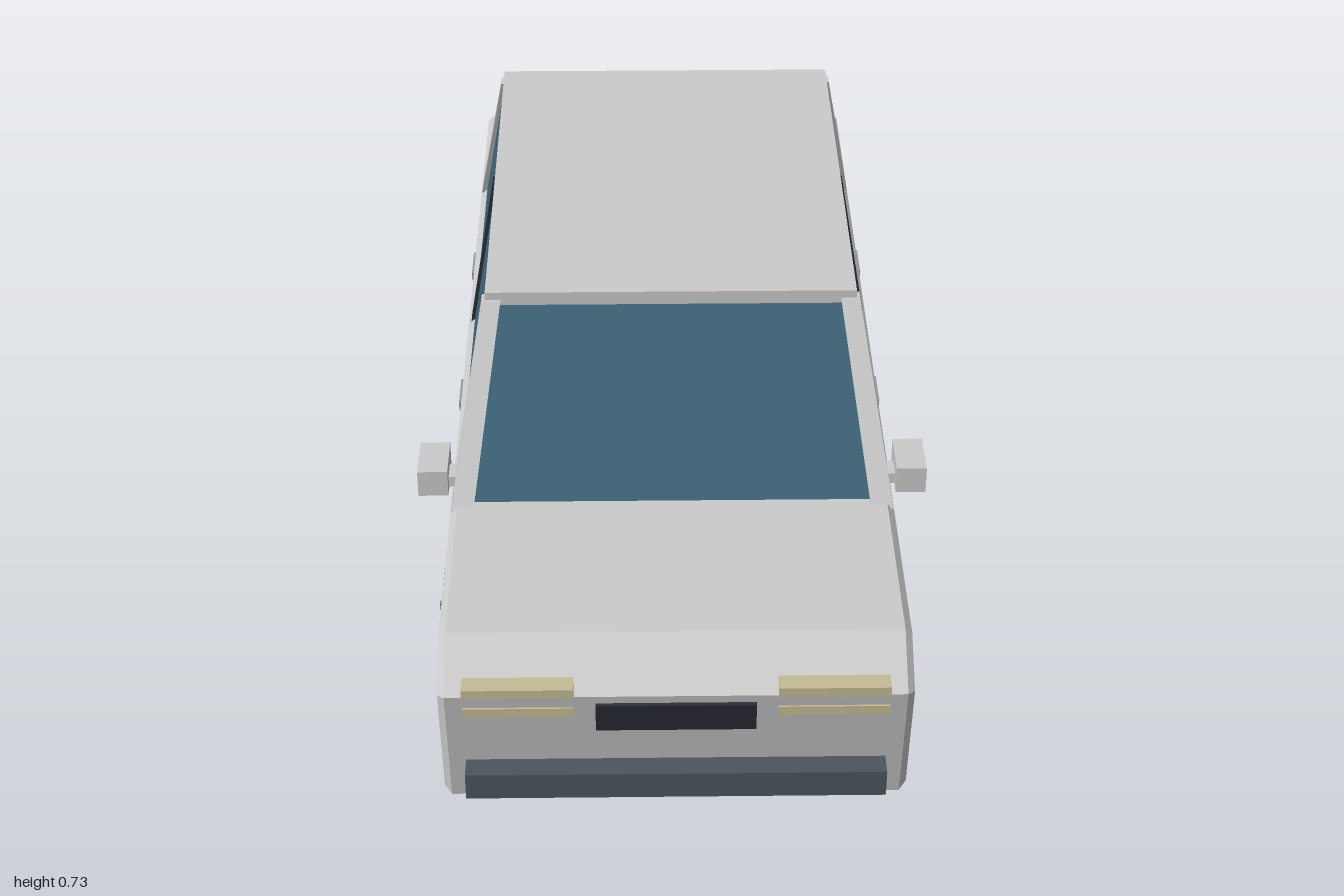
import * as THREE from 'three';
import { ConvexGeometry } from 'three/addons/geometries/ConvexGeometry.js';

const mat = (color) => new THREE.MeshStandardMaterial({ color, flatShading: true });
const paint = mat(0xcccccc), glass = mat(0x3d6478), black = mat(0x1b1d20), dark = mat(0x2a2d36);
const trim = mat(0x4d545e), metal = mat(0x8a939c), lamp = mat(0xc4bb95), red = mat(0x8a2424), chrome = mat(0x9a9b9e);

const WHEELS = [0.585, -0.57], AXLE = 0.152;

export function createModel() {
  const car = new THREE.Group();
  car.name = 'sedan';

  const add = (name, geometry, material, parent = car) => {
    const mesh = new THREE.Mesh(geometry, material);
    mesh.name = name;
    parent.add(mesh);
    return mesh;
  };
  // Box given by its limits on each axis
  const box = (name, [x0, x1], [y0, y1], [z0, z1], material) => {
    const mesh = add(name, new THREE.BoxGeometry(x1 - x0, y1 - y0, z1 - z0), material);
    mesh.position.set((x0 + x1) / 2, (y0 + y1) / 2, (z0 + z1) / 2);
    return mesh;
  };
  // Solid between two horizontal rectangles [x0, x1, z0, z1]
  const loft = (name, y0, a, y1, b, material) => {
    const points = [];
    for (const [y, r] of [[y0, a], [y1, b]])
      for (const x of [r[0], r[1]]) for (const z of [r[2], r[3]]) points.push(new THREE.Vector3(x, y, z));
    return add(name, new ConvexGeometry(points), material);
  };
  const mirrored = (s, a, b) => (s > 0 ? [a, b] : [-b, -a]);

  // Lower body: side profile with wheel arches, extruded across the car
  const profile = new THREE.Shape();
  profile.moveTo(0.945, 0.11);
  profile.lineTo(0.988, 0.355);
  profile.lineTo(0.9, 0.418);
  profile.lineTo(-0.905, 0.418);
  profile.lineTo(-0.975, 0.355);
  profile.lineTo(-0.93, 0.11);
  const archR = 0.165;
  profile.lineTo(WHEELS[1] - archR, 0.145);
  profile.absarc(WHEELS[1], AXLE, archR, Math.PI, 0, true);
  profile.lineTo(WHEELS[1] + archR, 0.12);
  profile.lineTo(WHEELS[0] - archR, 0.145);
  profile.absarc(WHEELS[0], AXLE, archR, Math.PI, 0, true);
  profile.lineTo(WHEELS[0] + archR, 0.11);
  const bevel = 0.012, halfWidth = 0.385;
  const bodyGeometry = new THREE.ExtrudeGeometry(profile, {
    depth: 2 * (halfWidth - bevel), bevelThickness: bevel, bevelSize: bevel,
    bevelOffset: -bevel, bevelSegments: 1, curveSegments: 14,
  });
  bodyGeometry.translate(0, 0, bevel - halfWidth);
  bodyGeometry.rotateY(-Math.PI / 2);
  add('body', bodyGeometry, paint);
  box('underbody', [-0.33, 0.33], [0.095, 0.145], [-0.8, 0.82], black);

  // Cabin: glass block, roof and pillars
  loft('windows', 0.41, [-0.374, 0.374, -0.6, 0.548], 0.715, [-0.322, 0.322, -0.478, 0.362], glass);
  box('roof', [-0.322, 0.322], [0.71, 0.735], [-0.485, 0.366], paint);
  for (const s of [1, -1]) {
    const rect = (x0, x1, z0, z1) => [...mirrored(s, x0, x1), z0, z1];
    loft('frontPillar', 0.41, rect(0.345, 0.384, 0.505, 0.562), 0.72, rect(0.295, 0.328, 0.345, 0.372), paint);
    loft('rearPillar', 0.41, rect(0.345, 0.384, -0.612, -0.57), 0.72, rect(0.295, 0.328, -0.488, -0.458), paint);
    loft('centrePillar', 0.41, rect(0.34, 0.38, -0.09, -0.056), 0.712, rect(0.29, 0.328, -0.09, -0.056), dark);

    // Mirrors and door handles
    box('wingMirror', mirrored(s, 0.388, 0.44), [0.43, 0.48], [0.45, 0.54], paint);
    box('mirrorMount', mirrored(s, 0.36, 0.395), [0.435, 0.455], [0.48, 0.52], paint);
    for (const z of [0.13, -0.34])
      box('doorHandle', mirrored(s, 0.375, 0.393), [0.357, 0.375], [z - 0.04, z + 0.04], chrome);

    // Lamps
    box('headlampUpper', mirrored(s, 0.165, 0.345), [0.357, 0.374], [0.93, 0.994], lamp);
    box('headlampLower', mirrored(s, 0.165, 0.345), [0.312, 0.33], [0.94, 0.987], lamp);
    box('tailLampUpper', mirrored(s, 0.22, 0.345), [0.357, 0.376], [-0.98, -0.93], red);
    box('tailLampLower', mirrored(s, 0.22, 0.345), [0.312, 0.33], [-0.974, -0.93], red);
  }

  // Grille, bumpers and rear plate
  const grille = box('grille', [-0.13, 0.13], [0.28, 0.34], [0.967, 0.987], dark);
  grille.rotation.x = 0.17;
  box('frontBumper', [-0.345, 0.345], [0.15, 0.2], [0.93, 1], trim);
  box('rearBumper', [-0.345, 0.345], [0.15, 0.2], [-0.982, -0.92], trim);
  box('rearPlate', [-0.08, 0.08], [0.178, 0.222], [-1, -0.94], chrome);

  // Wheels: tyre, disc on both faces and radial spokes
  for (const s of [1, -1]) for (const z of WHEELS) {
    const wheel = new THREE.Group();
    wheel.name = 'wheel';
    wheel.position.set(s * 0.359, AXLE, z);
    car.add(wheel);
    const tyre = [[0.08, -0.041], [0.138, -0.041], [0.152, -0.03], [0.152, 0.03], [0.138, 0.041], [0.08, 0.041]];
    add('tyre', new THREE.LatheGeometry(tyre.map((p) => new THREE.Vector2(...p)), 18), black, wheel)
      .rotation.z = -Math.PI / 2;
    add('rim', new THREE.CylinderGeometry(0.084, 0.084, 0.094, 18), metal, wheel).rotation.z = Math.PI / 2;
    add('hub', new THREE.CylinderGeometry(0.022, 0.022, 0.102, 10), trim, wheel).rotation.z = Math.PI / 2;
    for (let i = 0; i < 5; i++)
      add('spoke', new THREE.BoxGeometry(0.1, 0.155, 0.013), trim, wheel).rotation.x = (i * Math.PI) / 5;
  }
  return car;
}
